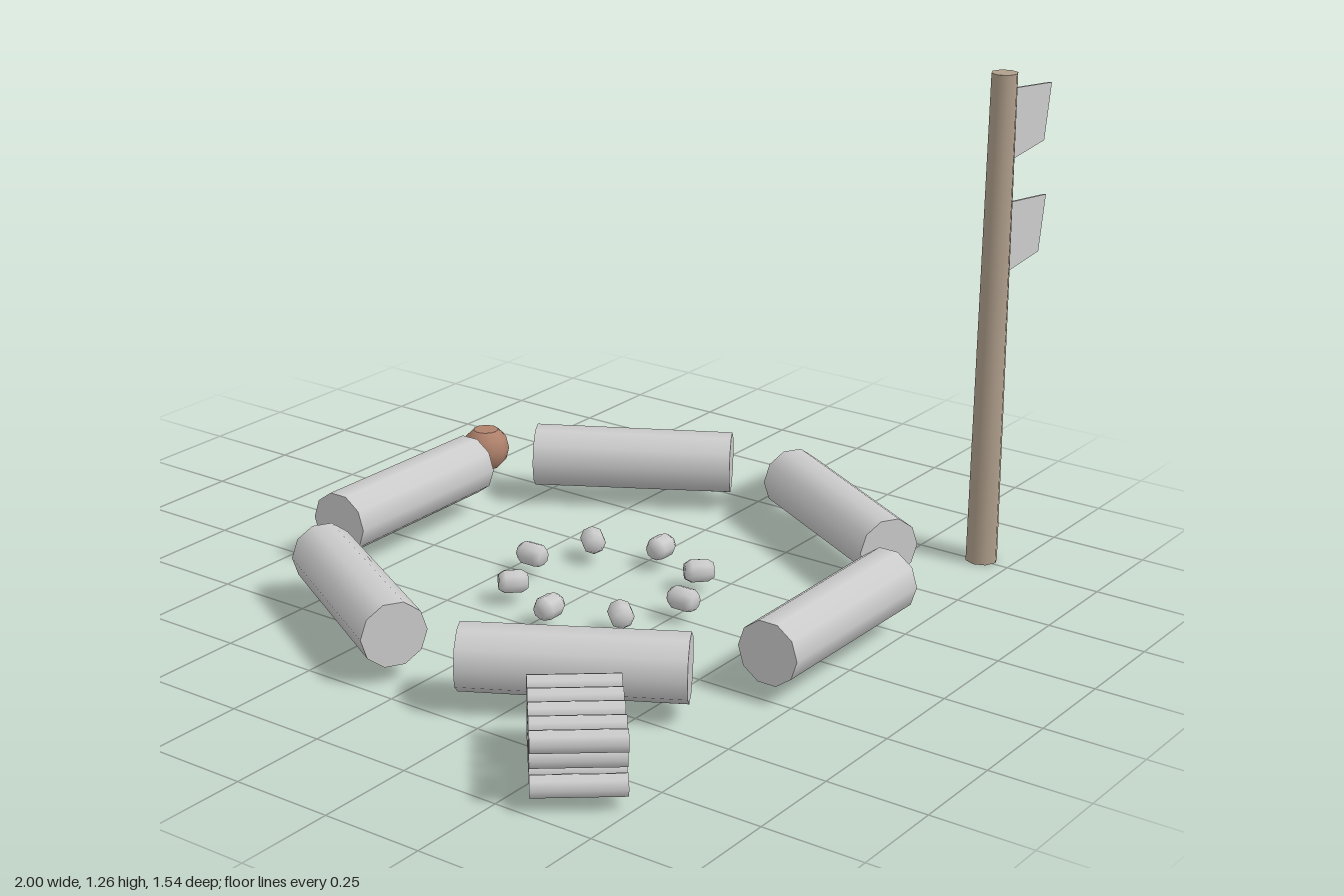
import * as THREE from 'three';

const paint = (color) => new THREE.MeshStandardMaterial({ color });
const grey = paint(0xcccccc);
const wood = paint(0xb09f8c);
const clay = paint(0xb0826c);

function add(parent, name, geometry, material, x = 0, y = 0, z = 0) {
  const mesh = new THREE.Mesh(geometry, material);
  mesh.name = name;
  mesh.position.set(x, y, z);
  parent.add(mesh);
  return mesh;
}

// closed turned shape from [radius, height] pairs
function turned(points, sides) {
  return new THREE.LatheGeometry(points.map(([r, y]) => new THREE.Vector2(r, y)), sides);
}

export function createModel() {
  const model = new THREE.Group();
  model.name = 'campsite';
  const centreZ = 0.05;

  // six seat logs in a ring
  const seatGeometry = new THREE.CylinderGeometry(0.079, 0.081, 0.52, 10).rotateZ(Math.PI / 2);
  for (let i = 0; i < 6; i++) {
    const a = (i * Math.PI) / 3;
    add(model, 'seatLog', seatGeometry, grey, 0.64 * Math.sin(a), 0.122, centreZ + 0.64 * Math.cos(a))
      .rotation.y = a;
  }

  // eight bevelled stones around the fire, long axis pointing outward
  const stoneGeometry = turned(
    [[0, -0.036], [0.02, -0.036], [0.03, -0.02], [0.03, 0.02], [0.02, 0.036], [0, 0.036]], 8)
    .rotateX(Math.PI / 2);
  for (let i = 0; i < 8; i++) {
    const a = (i * Math.PI) / 4;
    add(model, 'fireStone', stoneGeometry, grey, 0.23 * Math.sin(a), 0.056, centreZ + 0.23 * Math.cos(a))
      .rotation.y = a;
  }

  // firewood stacked in rows of five, four and five
  const stack = new THREE.Group();
  stack.name = 'firewoodStack';
  stack.position.set(-0.81, 0, 0.57);
  stack.rotation.y = 0.682;
  const billetGeometry = new THREE.CylinderGeometry(0.026, 0.026, 0.207, 8).rotateX(Math.PI / 2);
  [5, 4, 5].forEach((count, row) => {
    for (let i = 0; i < count; i++) {
      add(stack, 'firewood', billetGeometry, grey, (i - (count - 1) / 2) * 0.067, 0.055 + row * 0.051, 0);
    }
  });
  model.add(stack);

  // tapered post with two pennants
  const sign = new THREE.Group();
  sign.name = 'bannerPost';
  sign.position.set(0.76, 0, 0.67);
  add(sign, 'post', new THREE.CylinderGeometry(0.033, 0.041, 1.26, 8), wood, 0, 0.63, 0);
  const outline = new THREE.Shape([[0.025, 0], [0.215, 0.018], [0.24, 0.16], [0.025, 0.184]]
    .map(([x, y]) => new THREE.Vector2(x, y)));
  const bannerGeometry = new THREE.ExtrudeGeometry(outline, { depth: 0.006, bevelEnabled: false });
  for (const y of [0.746, 1.032]) add(sign, 'banner', bannerGeometry, grey, 0, y, -0.003);
  model.add(sign);

  // round pot with flat top and base
  add(model, 'pot', turned(
    [[0, 0.025], [0.036, 0.025], [0.055, 0.045], [0.063, 0.077], [0.055, 0.11], [0.034, 0.13]], 10),
    clay, 0.475, 0, -0.71);
  add(model, 'potLid', new THREE.CircleGeometry(0.034, 10).rotateX(-Math.PI / 2), clay, 0.475, 0.13, -0.71);

  return model;
}
